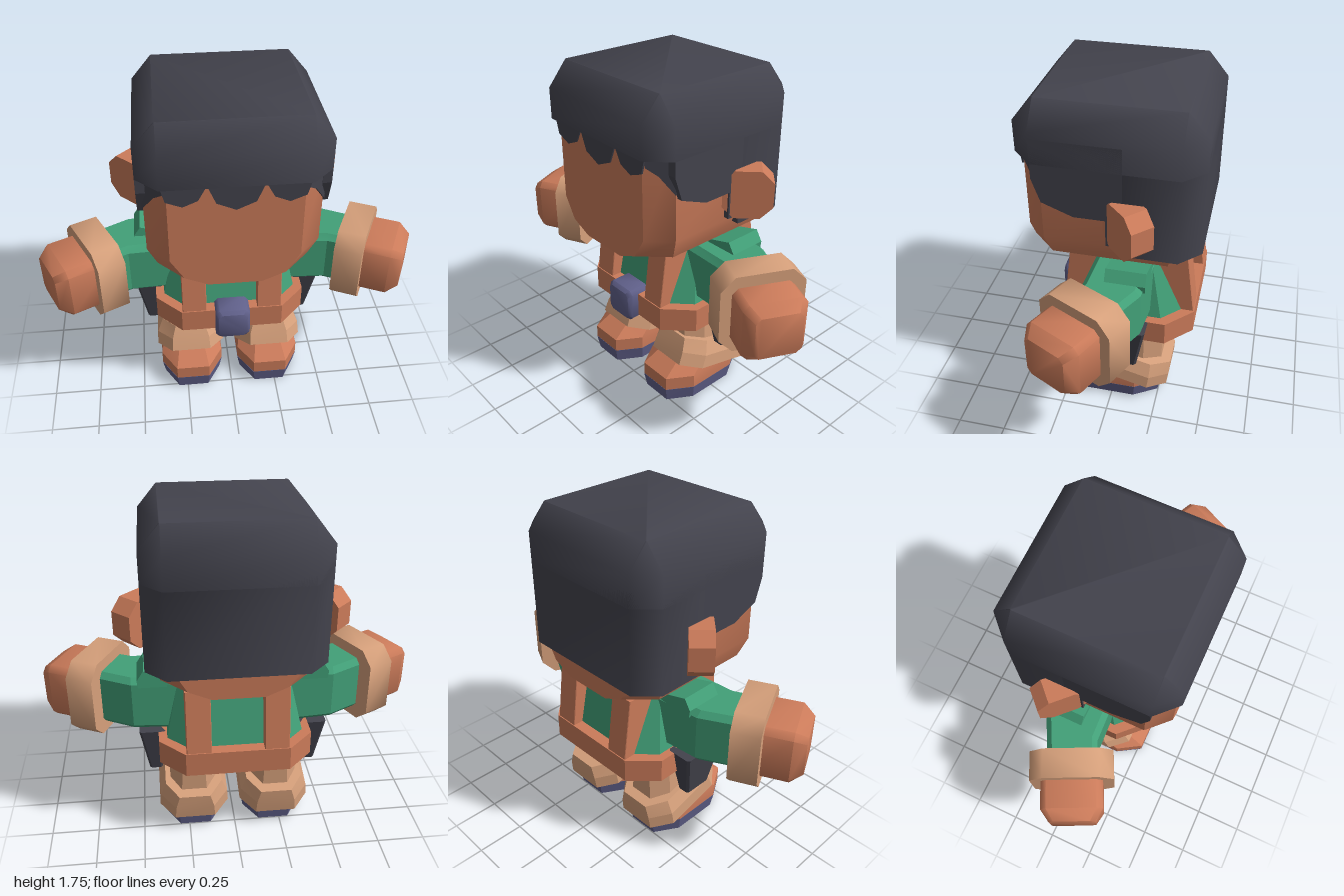
import * as THREE from 'three';
import { toCreasedNormals } from 'three/addons/utils/BufferGeometryUtils.js';

const mat = (name, color) => {
  const m = new THREE.MeshStandardMaterial({ color });
  m.name = name;
  return m;
};

// Eight-sided ring at height y: half sizes, corner cuts and centre offset
function ring(y, hx, hz, cx = 0.005, cz = cx, ox = 0, oz = 0) {
  const a = hx - cx, b = hz - cz;
  return [[hx, b], [a, hz], [-a, hz], [-hx, b], [-hx, -b], [-a, -hz], [a, -hz], [hx, -b]]
    .map(([x, z]) => [x + ox, y, z + oz]);
}

// Capped solid through a stack of rings, listed from bottom to top
function loft(rings, crease = 0.3) {
  const n = 8, index = [];
  for (let r = 0; r < rings.length - 1; r++) {
    for (let i = 0; i < n; i++) {
      const j = (i + 1) % n, a = r * n + i, b = r * n + j;
      index.push(a, a + n, b, b, a + n, b + n);
    }
  }
  const t = (rings.length - 1) * n;
  for (let i = 1; i < n - 1; i++) index.push(0, i, i + 1, t, t + i + 1, t + i);
  const g = new THREE.BufferGeometry();
  g.setAttribute('position', new THREE.Float32BufferAttribute(rings.flat(2), 3));
  g.setIndex(index);
  return toCreasedNormals(g, crease);
}

function plate(points, depth) {
  const shape = new THREE.Shape(points.map(([x, y]) => new THREE.Vector2(x, y)));
  return new THREE.ExtrudeGeometry(shape, { depth, bevelEnabled: false });
}

// Copy reflected in x, with the corner order restored
function mirrored(geometry) {
  const g = geometry.clone().scale(-1, 1, 1);
  for (const key of ['position', 'normal']) {
    const at = g.attributes[key];
    for (let i = 0; i < at.count; i += 3) {
      const p = new THREE.Vector3().fromBufferAttribute(at, i + 1);
      const q = new THREE.Vector3().fromBufferAttribute(at, i + 2);
      at.setXYZ(i + 1, q.x, q.y, q.z);
      at.setXYZ(i + 2, p.x, p.y, p.z);
    }
  }
  // Reflected normals always carry a flipped x
  const pos = g.attributes.normal, src = geometry.attributes.normal;
  for (let i = 0; i < pos.count; i += 3) {
    [0, 2, 1].forEach((s, k) => pos.setXYZ(i + k, -src.getX(i + s), src.getY(i + s), src.getZ(i + s)));
  }
  return g;
}

export function createModel() {
  const skin = mat('warm brown', 0xcb7b5a);
  const hair = mat('charcoal', 0x43434d);
  const green = mat('shirt green', 0x42a078);
  const tan = mat('light tan', 0xd6a07b);
  const slate = mat('slate purple', 0x60608a);

  const model = new THREE.Group();
  model.name = 'figure';
  const add = (name, geometry, material) => {
    const mesh = new THREE.Mesh(geometry, material);
    mesh.name = name;
    model.add(mesh);
  };
  const pair = (name, geometry, material) => {
    add('left' + name, geometry, material);
    add('right' + name, mirrored(geometry), material);
  };

  // Head, narrowing to the chin
  add('head', loft([
    ring(0.90, 0.25, 0.415, 0.12, 0.16),
    ring(0.95, 0.37, 0.415, 0.125, 0.13),
    ring(1.06, 0.415, 0.415, 0.105),
    ring(1.55, 0.415, 0.415, 0.105),
  ], 0.5), skin);

  // Hair cap and long back
  add('hairCap', loft([
    ring(1.475, 0.443, 0.443, 0.103),
    ring(1.63, 0.443, 0.443, 0.103),
    ring(1.75, 0.343, 0.343, 0.004),
  ], 1.0), hair);
  const backRing = y => [[0.443, -0.08], [0.44, -0.07], [-0.44, -0.07], [-0.443, -0.08],
    [-0.443, -0.34], [-0.34, -0.443], [0.34, -0.443], [0.443, -0.34]].map(([x, z]) => [x, y, z]);
  add('hairBack', loft([backRing(1.03), backRing(1.55)], 0.9), hair);

  // Side locks in front of and above the ears
  const side = plate([[-0.34, 1.6], [-0.34, 1.4], [-0.30, 1.28], [-0.15, 1.22], [0, 1.22],
    [0, 1.08], [0.08, 1.08], [0.08, 1.6]], 0.043);
  pair('HairSide', side.rotateY(Math.PI / 2).translate(0.4, 0, 0), hair);

  // Jagged fringe across the forehead and round the corners
  const half = [[0.09, 1.38], [0.13, 1.475], [0.17, 1.40], [0.24, 1.37], [0.315, 1.40], [0.335, 1.475]];
  const fringe = [...half.map(([x, y]) => [-x, y]).reverse(), [0, 1.34], ...half, [0.335, 1.52], [-0.335, 1.52]];
  add('fringe', plate(fringe, 0.009).translate(0, 0, 0.414), hair);
  const corner = plate([[-0.075, 1.5], [-0.06, 1.43], [0, 1.39], [0.075, 1.30], [0.075, 1.5]], 0.009);
  pair('FringeCorner', corner.rotateY(Math.PI / 4).translate(0.362, 0, 0.362), hair);

  // Ears, turned half forward
  const ear = loft([ring(-0.06, 0.123, 0.122, 0.06), ring(0.06, 0.123, 0.122, 0.06)]);
  pair('Ear', ear.rotateX(Math.PI / 2).rotateY(Math.PI / 4).translate(0.457, 1.205, -0.108), skin);

  // Torso, belt, buckle and shoulder straps
  add('torso', loft([
    ring(0.55, 0.36, 0.295, 0.1, 0.1, 0, -0.07),
    ring(0.91, 0.28, 0.22, 0.1, 0.1, 0, -0.07),
  ]), green);
  add('belt', loft([
    ring(0.46, 0.395, 0.347, 0.13, 0.13, 0, -0.07),
    ring(0.59, 0.395, 0.347, 0.13, 0.13, 0, -0.07),
  ]), skin);
  const buckle = loft([
    ring(0.2, 0.09, 0.09, 0.02), ring(0.315, 0.09, 0.09, 0.02), ring(0.335, 0.075, 0.075, 0.02),
  ], 0.9);
  add('buckle', buckle.rotateX(Math.PI / 2).translate(0, 0.525, 0), slate);
  pair('Strap', loft([
    ring(0.55, 0.063, 0.347, 0.003, 0.003, 0.197, -0.07),
    ring(0.92, 0.063, 0.30, 0.003, 0.003, 0.197, -0.07),
  ]), skin);

  // Pouches hanging from the belt
  pair('Pouch', loft([
    ring(0.325, 0.035, 0.08, 0.012, 0.012, 0.417, -0.07),
    ring(0.59, 0.07, 0.13, 0.012, 0.012, 0.425, -0.07),
  ]), hair);

  // Arms: bent sleeve, shoulder flap, cuff and fist
  const sleeve = loft([
    ring(0.22, 0.15, 0.15, 0.03, 0.03, 0, -0.06),
    ring(0.52, 0.15, 0.145, 0.03, 0.03, 0, -0.04),
    ring(0.68, 0.15, 0.14, 0.03, 0.03, 0, 0.04),
  ]).rotateZ(-Math.PI / 2).translate(0, 0.75, 0);
  pair('Sleeve', sleeve, green);
  const flap = plate([[0.24, 0.86], [0.485, 0.86], [0.49, 0.90], [0.455, 0.955], [0.26, 0.90]], 0.2);
  pair('ShoulderFlap', flap.translate(0, 0, -0.2), green);
  const alongArm = g => g.rotateZ(-Math.PI / 2).rotateY(-0.45).translate(0.69, 0.752, 0.043);
  pair('Cuff', alongArm(loft([
    ring(-0.073, 0.207, 0.21, 0.07), ring(0.073, 0.207, 0.21, 0.07),
  ], 0.9)), tan);
  pair('Fist', alongArm(loft([
    ring(0.0, 0.148, 0.155, 0.03),
    ring(0.21, 0.148, 0.155, 0.03),
    ring(0.27, 0.11, 0.115, 0.025),
  ], 0.9)), skin);

  // Legs, tilted boot cuffs, shoes and soles
  const x = 0.22;
  pair('Leg', loft([
    ring(0.18, 0.13, 0.19, 0.06, 0.09, x, -0.07),
    ring(0.48, 0.115, 0.19, 0.06, 0.09, x, -0.07),
  ]), tan);
  const bootCuff = loft([
    ring(-0.072, 0.187, 0.257, 0.08, 0.1),
    ring(0, 0.182, 0.248, 0.08, 0.1),
    ring(0.072, 0.152, 0.233, 0.07, 0.1),
  ], 0.2);
  pair('BootCuff', bootCuff.rotateX(-0.26).translate(x, 0.225, -0.068), tan);
  pair('Shoe', loft([
    ring(0.08, 0.17, 0.267, 0.08, 0.13, 0.217, 0.008),
    ring(0.155, 0.17, 0.267, 0.08, 0.13, 0.217, 0.008),
    ring(0.22, 0.15, 0.2, 0.08, 0.11, 0.217, -0.03),
  ]), skin);
  pair('Sole', loft([
    ring(0, 0.157, 0.255, 0.075, 0.125, 0.217, 0.008),
    ring(0.08, 0.171, 0.268, 0.08, 0.13, 0.217, 0.008),
  ]), slate);

  return model;
}
